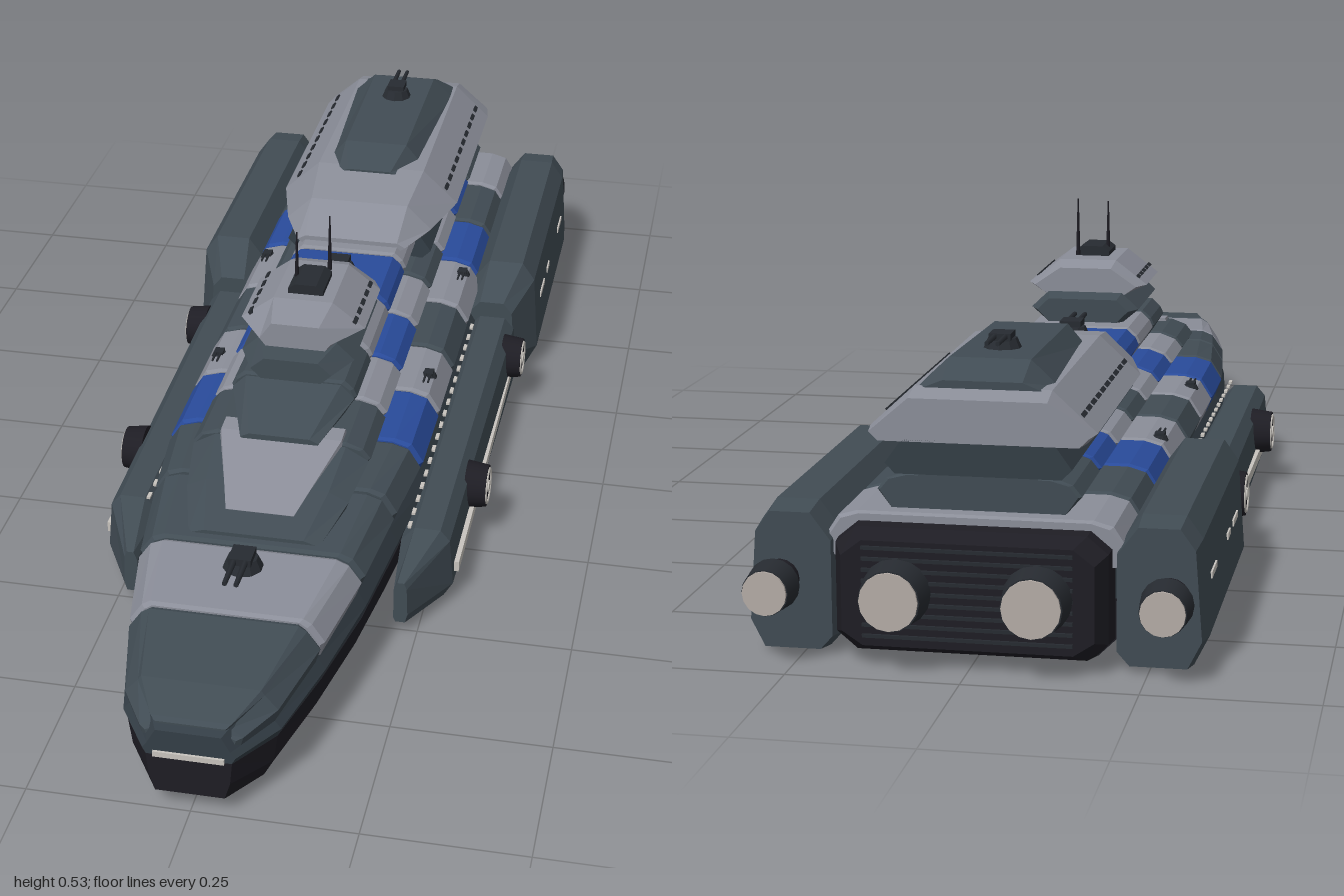
import * as THREE from 'three';

const mat = (name, color) => Object.assign(new THREE.MeshStandardMaterial({ color }), { name });
const slate = mat('slate armour', 0x414c54), deep = mat('dark slate armour', 0x343e46);
const grey = mat('light grey armour', 0x8b8e99), blue = mat('blue panel', 0x294b9b);
const black = mat('black underside', 0x1e1d24), gun = mat('gunmetal', 0x272b31);
const white = mat('pale strip', 0xc8c4be), glow = mat('engine glow', 0xb5aca6);

// Piecewise linear lookup, table sorted by falling z
const lerp = (table, z) => {
  if (z >= table[0][0]) return table[0][1];
  for (let i = 1; i < table.length; i++) {
    const [a, va] = table[i - 1], [b, vb] = table[i];
    if (z >= b) return vb + (va - vb) * (z - b) / (a - b);
  }
  return table[table.length - 1][1];
};

// Mirrored closed section from a half profile listed bottom to top
const sym = (z, half) => ({
  z, pts: [...half, ...half.slice().reverse().map(([x, y]) => [-x, y])],
});

// Faceted solid through sections ordered from bow to stern
function loft(sections) {
  const v = [], n = sections[0].pts.length;
  const put = (i, j) => v.push(...sections[i].pts[j % n], sections[i].z);
  for (let i = 0; i < sections.length - 1; i++)
    for (let j = 0; j < n; j++) {
      put(i, j); put(i + 1, j); put(i, j + 1);
      put(i, j + 1); put(i + 1, j); put(i + 1, j + 1);
    }
  const last = sections.length - 1;
  for (let j = 1; j < n - 1; j++) {
    put(0, 0); put(0, j); put(0, j + 1);
    put(last, 0); put(last, j + 1); put(last, j);
  }
  const g = new THREE.BufferGeometry();
  g.setAttribute('position', new THREE.Float32BufferAttribute(v, 3));
  g.computeVertexNormals();
  return g;
}

export function createModel() {
  const ship = new THREE.Group();
  ship.name = 'starship';
  const add = (name, geo, m, x = 0, y = 0, z = 0, parent = ship) => {
    const mesh = new THREE.Mesh(geo, m);
    mesh.name = name;
    mesh.position.set(x, y, z);
    parent.add(mesh);
    return mesh;
  };
  const box = (name, w, h, d, m, x, y, z, parent) => add(name, new THREE.BoxGeometry(w, h, d), m, x, y, z, parent);
  const cyl = (r1, r2, h, n = 12) => new THREE.CylinderGeometry(r1, r2, h, n).toNonIndexed();
  const flatCyl = (...a) => { const g = cyl(...a); g.computeVertexNormals(); return g; };

  // Plan outline and deck height of the hull along z
  const plan = [[1, .065], [.92, .115], [.77, .15], [.6, .18], [.43, .2], [.25, .218], [-.9, .218]];
  const deck = [[1, .15], [.92, .175], [.77, .193], [.6, .2], [.43, .215], [-.9, .215]];
  const foot = [[1, .12], [.77, .13], [.43, .148], [-.9, .15]];
  const keel = [[1, .035], [.92, .022], [.6, .012], [.3, .003], [-.8, .003], [-.88, .015]];
  const waist = [[1, .1], [.92, .097], [.6, .09], [.2, .1], [-.9, .1]];

  // Lower and upper hull
  const stations = [1, .92, .77, .6, .43, .25, -.3, -.8, -.88];
  add('lowerHull', loft(stations.map(z => {
    const w = lerp(plan, z), k = lerp(keel, z);
    return sym(z, [[w * .8, k], [w * .93, k + .028], [w * .985, lerp(waist, z)]]);
  })), black);
  add('upperHull', loft(stations.map(z => {
    const w = lerp(plan, z), y = lerp(waist, z), f = lerp(foot, z);
    return sym(z, [[w * .98, y], [w + .004, (y + f) / 2], [w * .95, f], [w * .75, lerp(deck, z) - .006]]);
  })), deep);
  box('bowLight', .106, .009, .008, white, 0, .103, 1);

  // One row of armour panels; section(z, inset) gives the half profile
  const row = (name, section, edges, mats) => mats.forEach((m, i) => {
    const a = edges[i] - .002, b = edges[i + 1] + .002, e = .007;
    const mid = edges.slice(i, i + 2).length && name === 'bowPanel' ? [.92] : [];
    add(name, loft([[a, e * .7], [a - e, 0], ...mid.map(z => [z, 0]), [b + e, 0], [b, e * .7]]
      .map(([z, s]) => sym(z, section(z, s)))), m);
  });
  const deckSection = (z, s) => {
    const w = lerp(plan, z) - s, f = lerp(foot, z), t = lerp(deck, z) - s * .6;
    return [[w * .95, f], [w, f + (t - f) * .4], [w - .02, t - .008], [w * .78, t]];
  };
  row('bowPanel', deckSection, [.99, .77], [slate]);
  row('deckPanel', deckSection, [.77, .6, .43, .27, .1, -.06, -.23, -.4, -.57, -.74, -.9],
    [grey, slate, slate, blue, grey, slate, grey, blue, slate, grey]);

  // Second tier with its sloping prow
  const tier2 = (z, s) => [[.122, .21], [.148 - s, .24], [.135 - s, .256], [.108 - s, .266 - s * .6]];
  row('secondTierPanel', tier2, [.38, .23, .08, -.08, -.23, -.38, -.54, -.7, -.87],
    [slate, grey, blue, grey, slate, grey, blue, slate]);
  add('tierProw', loft([
    sym(.58, [[.1, .19], [.105, .2], [.08, .208]]),
    sym(.48, [[.125, .2], [.132, .222], [.1, .238]]),
    sym(.38, [[.122, .21], [.146, .24], [.108, .262]]),
  ]), slate);
  add('prowWedge', loft([
    sym(.535, [[.062, .2], [.055, .222]]),
    sym(.375, [[.115, .22], [.1, .27]]),
    sym(.34, [[.115, .22], [.1, .272]]),
  ]), grey);

  // Third tier
  const tier3 = (z, s) => [[.085, .262], [.106 - s, .295], [.1 - s, .308], [.085 - s, .322 - s * .6]];
  row('thirdTierPanel', tier3, [.28, .14, -.03, -.19, -.35, -.52, -.68, -.84, -.87],
    [slate, grey, blue, grey, slate, slate, blue, slate]);
  add('thirdTierProw', loft([
    sym(.39, [[.06, .26], [.065, .268], [.05, .275]]),
    sym(.28, [[.085, .262], [.103, .295], [.08, .318]]),
  ]), slate);
  add('sternDeck', loft([-.3, -.87].map(z => sym(z, [[.12, .265], [.135, .28], [.11, .315]]))), deep);

  // Bridge tower
  add('bridgeBase', loft([
    sym(.3, [[.05, .328], [.068, .345], [.045, .365]]),
    sym(.24, [[.068, .322], [.095, .345], [.065, .373]]),
    sym(.03, [[.068, .322], [.095, .345], [.065, .373]]),
    sym(0, [[.06, .325], [.08, .345], [.06, .365]]),
  ]), slate);
  add('bridgeTop', loft([
    sym(.265, [[.05, .37], [.06, .383], [.04, .412]]),
    sym(.2, [[.075, .37], [.105, .384], [.05, .426]]),
    sym(.06, [[.075, .37], [.105, .384], [.05, .426]]),
    sym(.03, [[.07, .37], [.09, .384], [.045, .415]]),
  ]), grey);
  box('bridgeNeck', .11, .02, .24, gun, 0, .32, .14);
  add('sensorHousing', loft([.18, .105].map(z => sym(z, [[.03, .424], [.03, .434], [.018, .443]]))), gun);
  add('leftAntenna', cyl(.0012, .004, .1, 6), black, .023, .48, .09);
  add('rightAntenna', cyl(.0012, .004, .09, 6), black, -.023, .475, .14);
  for (let i = 0; i < 5; i++) for (const s of [1, -1])
    box('bridgeWindow', .006, .007, .018, gun, s * .088, .396, .07 + i * .032).rotation.z = s * .92;

  // Stern citadel
  add('citadel', loft([
    sym(-.22, [[.085, .312], [.1, .322], [.085, .33]]),
    sym(-.3, [[.12, .31], [.135, .325], [.09, .368]]),
    sym(-.42, [[.15, .31], [.165, .325], [.1, .385]]),
    sym(-.83, [[.15, .31], [.165, .325], [.1, .385]]),
    sym(-.87, [[.145, .312], [.158, .325], [.1, .375]]),
  ]), grey);
  add('citadelRoof', loft([
    sym(-.4, [[.06, .378], [.04, .386]]),
    sym(-.47, [[.085, .38], [.058, .412]]),
    sym(-.78, [[.1, .38], [.06, .418]]),
    sym(-.835, [[.1, .378], [.058, .395]]),
  ]), slate);
  for (let i = 0; i < 10; i++) for (const s of [1, -1])
    box('citadelWindow', .006, .007, .022, gun, s * .141, .347, -.44 - i * .041).rotation.z = s * .83;

  // Turrets: dir is +1 for forward guns, -1 for aft guns
  const turret = (x, y, z, size, dir) => {
    const t = new THREE.Group();
    t.name = 'turret';
    t.position.set(x, y, z);
    t.scale.set(size, size, size * dir);
    t.rotation.y = 0;
    if (dir < 0) { t.scale.z = size; t.rotation.y = Math.PI; }
    add('turretBase', flatCyl(.024, .032, .018, 10), gun, 0, .009, 0, t);
    box('turretHead', .036, .012, .04, gun, 0, .022, .005, t);
    for (const s of [1, -1])
      add('barrel', cyl(.004, .005, .07, 6), gun, s * .009, .023, .05, t).rotation.x = Math.PI / 2;
    ship.add(t);
  };
  turret(0, .198, .65, 1, 1);
  turret(0, .321, -.11, 1, 1);
  turret(0, .415, -.69, .9, -1);
  for (const s of [1, -1]) for (const z of [.03, -.36]) turret(s * .188, .205, z, .45, 1);

  // Side pods, their gear wheels, strips and engines
  const podSection = (z, xi, xo, y0, y1) => {
    const w = xo - xi, h = y1 - y0;
    return { z, pts: [[xi + w * .15, y0], [xo - w * .17, y0], [xo, y0 + h * .2], [xo - w * .08, y0 + h * .85],
      [xo - w * .26, y1], [xi + w * .25, y1], [xi, y0 + h * .8], [xi, y0 + h * .1]] };
  };
  const pod = [podSection(.51, .212, .235, .025, .1), podSection(.4, .205, .292, .01, .135),
    podSection(-.33, .205, .3, .005, .14)];
  const engineBlock = [podSection(-.325, .205, .295, .04, .17), podSection(-.4, .202, .33, .003, .22),
    podSection(-.86, .202, .33, .003, .22), podSection(-.91, .205, .325, .012, .213)];
  for (const s of [1, -1]) {
    const side = sections => loft(s > 0 ? sections
      : sections.map(({ z, pts }) => ({ z, pts: pts.map(([x, y]) => [-x, y]).reverse() })));
    add('pod', side(pod), slate);
    add('podEngineBlock', side(engineBlock), slate);
    box('podLightStrip', .008, .018, .7, white, s * .295, .058, .035);
    for (let i = 0; i < 18; i++) box('hullWindow', .006, .004, .016, white, s * .219, .14, .4 - i * .04);
    for (const [z, d] of [[-.5, .06], [-.59, .035], [-.78, .06]])
      box('podWindow', .006, .01, d, white, s * .324, .12, z);
    for (const z of [.19, -.26]) {
      const wheel = new THREE.Group();
      wheel.name = 'gearWheel';
      wheel.position.set(s * .3, .096, z);
      wheel.rotation.z = -s * Math.PI / 2;
      add('wheelDrum', cyl(.036, .041, .036, 20), black, 0, 0, 0, wheel);
      add('wheelRing', new THREE.TorusGeometry(.029, .003, 6, 20), white, 0, .018, 0, wheel).rotation.x = Math.PI / 2;
      add('wheelHub', cyl(.01, .012, .006, 10), white, 0, .018, 0, wheel);
      ship.add(wheel);
    }
  }

  // Stern block with vent ribs, and the four engines
  add('sternBlock', loft([
    sym(-.86, [[.17, .008], [.2, .04], [.2, .18], [.17, .205]]),
    sym(-.92, [[.165, .02], [.195, .045], [.195, .175], [.165, .2]]),
    sym(-.95, [[.15, .035], [.18, .055], [.18, .165], [.15, .188]]),
  ]), black);
  for (let i = 0; i < 9; i++) box('ventRib', .3, .005, .008, gun, 0, .05 + i * .016, -.95);
  for (const [x, r, z0, z1] of [[.1, .05, -.93, -1], [.28, .038, -.9, -.99]]) for (const s of [1, -1]) {
    const engine = new THREE.Group();
    engine.name = 'engine';
    engine.position.set(s * x, .115, 0);
    const tube = (name, r1, r2, a, b, m) =>
      add(name, cyl(r1, r2, a - b, 16), m, 0, 0, (a + b) / 2, engine).rotation.x = Math.PI / 2;
    tube('engineMount', r * .75, r * .75, z0, z1 + .04, black);
    tube('engineNozzle', r, r * .88, z1 + .048, z1 + .004, gun);
    tube('engineGlow', r * .84, r * .84, z1 + .02, z1, glow);
    ship.add(engine);
  }
  return ship;
}
